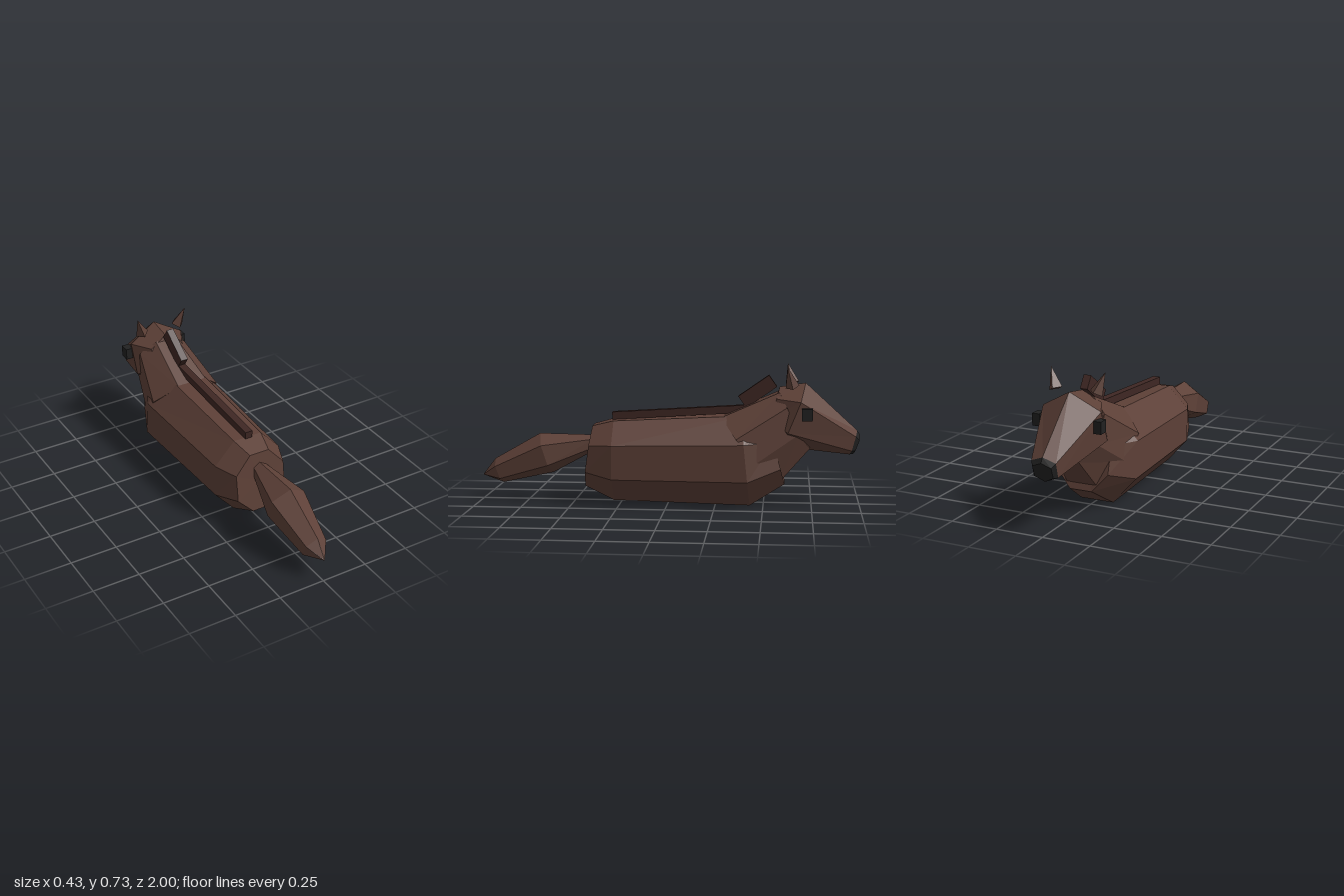
import * as THREE from 'three';

const mat = (color) => new THREE.MeshStandardMaterial({ color, flatShading: true });

// Closed faceted loft. Each ring lists its +x half from top to bottom; the -x half is mirrored.
// Rings run from +z to -z.
function loft(halfRings) {
  const rings = halfRings.map((half) => [
    ...half,
    ...half.filter((p) => p[0] > 0).reverse().map(([x, y, z]) => [-x, y, z]),
  ]);
  const n = rings[0].length;
  const pos = [];
  const tri = (...pts) => pts.forEach((p) => pos.push(...p));
  const centre = (ring) => [0, 1, 2].map((k) => ring.reduce((s, p) => s + p[k], 0) / n);
  const first = rings[0], last = rings[rings.length - 1];
  for (let i = 0; i < n; i++) {
    const j = (i + 1) % n;
    for (let r = 0; r + 1 < rings.length; r++) {
      const a = rings[r], b = rings[r + 1];
      tri(a[i], a[j], b[i]);
      tri(a[j], b[j], b[i]);
    }
    tri(centre(first), first[j], first[i]);
    tri(centre(last), last[i], last[j]);
  }
  const geo = new THREE.BufferGeometry();
  geo.setAttribute('position', new THREE.Float32BufferAttribute(pos, 3));
  geo.computeVertexNormals();
  return geo;
}

export function createModel() {
  const model = new THREE.Group();
  const coat = mat(0x5d4037), maneMat = mat(0x3e2723), dark = mat(0x212121);
  const add = (name, geo, material) => {
    const mesh = new THREE.Mesh(geo, material);
    mesh.name = name;
    model.add(mesh);
    return mesh;
  };

  // Barrel-shaped body, octagonal
  add('body', loft([
    [[0.055, 0.405, 0.4], [0.14, 0.31, 0.41], [0.14, 0.17, 0.43], [0.055, 0.085, 0.44]],
    [[0.08, 0.435, 0.285], [0.19, 0.317, 0.285], [0.19, 0.14, 0.285], [0.08, 0.015, 0.285]],
    [[0.09, 0.47, -0.4], [0.213, 0.333, -0.4], [0.213, 0.14, -0.42], [0.09, 0, -0.43]],
    [[0.06, 0.43, -0.5], [0.14, 0.34, -0.55], [0.14, 0.2, -0.59], [0.06, 0.11, -0.61]],
  ]), coat);

  // Neck rising out of the shoulders
  add('neck', loft([
    [[0.085, 0.46, -0.28], [0.2, 0.36, -0.36], [0.185, 0.24, -0.47], [0.085, 0.12, -0.58]],
    [[0.06, 0.59, -0.58], [0.14, 0.52, -0.62], [0.13, 0.38, -0.68], [0.06, 0.3, -0.74]],
  ]), coat);

  // Head with a ridge along the top, tapering to the muzzle
  const muzzle = [[0, 0.39, -0.985], [0.065, 0.365, -0.975], [0.065, 0.29, -0.955], [0, 0.263, -0.945]];
  add('head', loft([
    [[0, 0.615, -0.58], [0.095, 0.56, -0.565], [0.095, 0.46, -0.53], [0, 0.4, -0.51]],
    [[0, 0.637, -0.715], [0.157, 0.55, -0.69], [0.157, 0.39, -0.625], [0, 0.3, -0.59]],
    muzzle,
  ]), coat);
  add('nose', loft([
    muzzle,
    [[0, 0.365, -1], [0.05, 0.345, -0.995], [0.05, 0.29, -0.975], [0, 0.265, -0.965]],
  ]), dark);

  // Tail, swelling in the middle and ending in a point
  add('tail', loft([
    [[0, 0.13, 1], [0.003, 0.129, 1], [0.003, 0.127, 1], [0, 0.126, 1]],
    [[0, 0.215, 0.935], [0.058, 0.18, 0.925], [0.058, 0.115, 0.9], [0, 0.087, 0.89]],
    [[0, 0.355, 0.69], [0.095, 0.3, 0.67], [0.095, 0.195, 0.635], [0, 0.145, 0.62]],
    [[0, 0.35, 0.4], [0.035, 0.33, 0.4], [0.035, 0.285, 0.4], [0, 0.265, 0.4]],
  ]), coat);

  // Mane: a long strip down the back and a short one up the neck
  const backMane = add('backMane', new THREE.BoxGeometry(0.04, 0.04, 0.72), maneMat);
  backMane.position.set(0, 0.477, -0.06);
  backMane.rotation.x = 0.062;
  const neckMane = add('neckMane', new THREE.BoxGeometry(0.04, 0.074, 0.195), maneMat);
  neckMane.position.set(0, 0.59, -0.465);
  neckMane.rotation.x = 0.61;

  // Eyes and ears, mirrored
  for (const [side, s] of [['left', 1], ['right', -1]]) {
    const eye = add(side + 'Eye', new THREE.BoxGeometry(0.04, 0.062, 0.055), dark);
    eye.position.set(s * 0.165, 0.488, -0.722);
    const ear = add(side + 'Ear', new THREE.ConeGeometry(0.036, 0.112, 4), coat);
    ear.position.set(s * 0.128, 0.677, -0.633);
    ear.rotation.set(0.24, 0, -s * 0.34);
  }
  return model;
}
